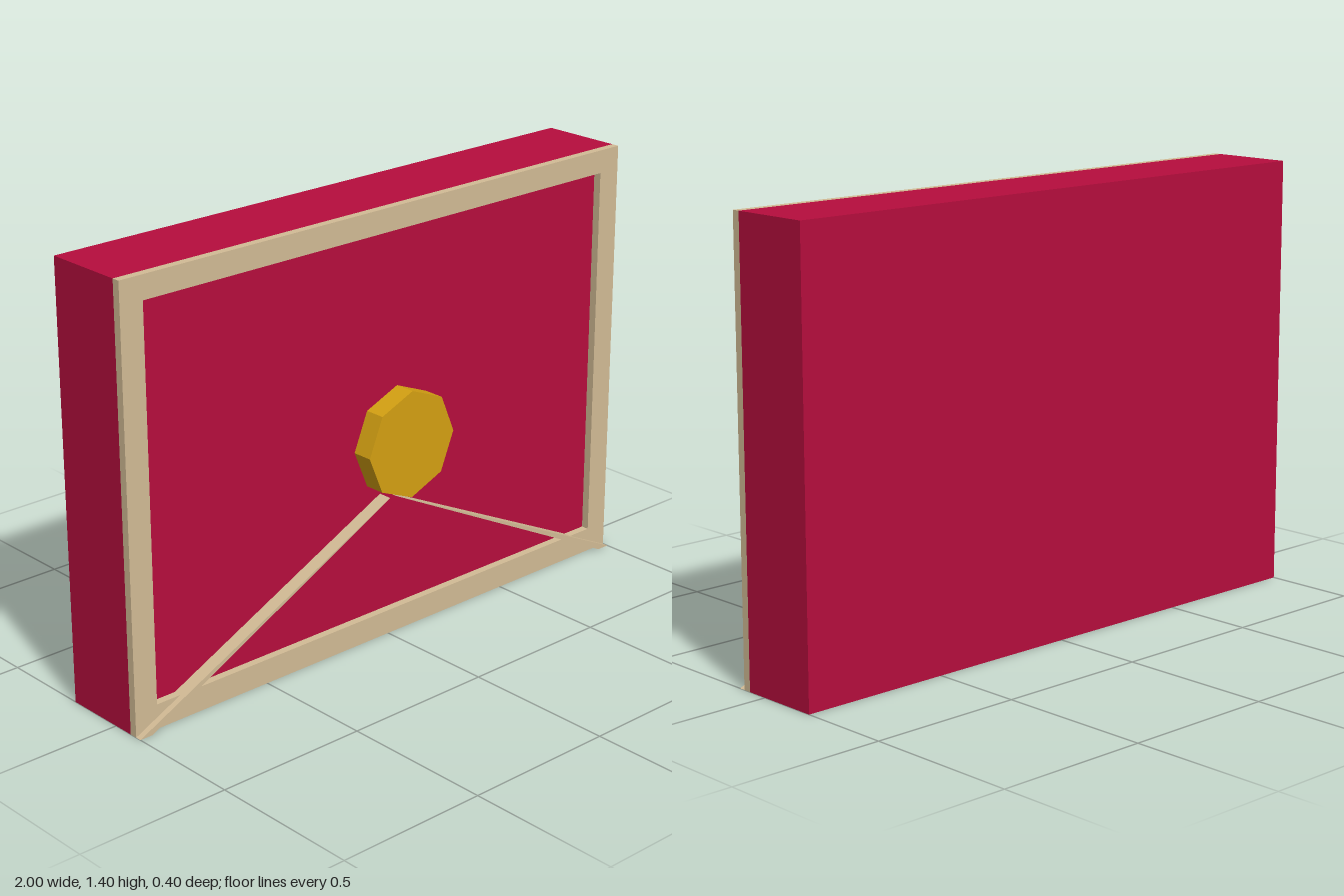
import * as THREE from 'three';

const material = (name, color, side = THREE.FrontSide) => {
  const m = new THREE.MeshStandardMaterial({ color, side });
  m.name = name;
  return m;
};

export function createModel() {
  const crimson = material('crimson', 0xb60d3d);
  const tan = material('tan', 0xd2bb95);
  const gold = material('gold', 0xd4a012);

  const group = new THREE.Group();
  const add = (name, geometry, mat, x = 0, y = 0, z = 0) => {
    const mesh = new THREE.Mesh(geometry, mat);
    mesh.name = name;
    mesh.position.set(x, y, z);
    group.add(mesh);
    return mesh;
  };
  const polygon = (points) => new THREE.Shape(points.map(([x, y]) => new THREE.Vector2(x, y)));
  const extrude = (shape, depth) => new THREE.ExtrudeGeometry(shape, { depth, bevelEnabled: false });

  // Solid body
  add('body', new THREE.BoxGeometry(2, 1.4, 0.27), crimson, 0, 0.7, -0.065);

  // Raised border around the front face
  const border = polygon([[-1, 0], [1, 0], [1, 1.4], [-1, 1.4]]);
  border.holes.push(polygon([[-0.92, 0.08], [-0.92, 1.325], [0.92, 1.325], [0.92, 0.08]]));
  add('border', extrude(border, 0.026), tan, 0, 0, 0.07);

  // Tapered fold ridges running from the lower corners towards the seal
  for (const [name, s] of [['leftFold', 1], ['rightFold', -1]]) {
    const fold = polygon([[s, 0], [s * 0.955, 0], [s * 0.012, 0.475]]);
    add(name, extrude(fold, 0.046), tan, 0, 0, 0.07);
  }

  // Eight-sided seal standing just in front of the face
  const seal = new THREE.CylinderGeometry(0.174, 0.174, 0.068, 8).rotateX(Math.PI / 2).toNonIndexed();
  seal.computeVertexNormals();
  add('seal', seal, gold, 0, 0.675, 0.166);

  return group;
}
